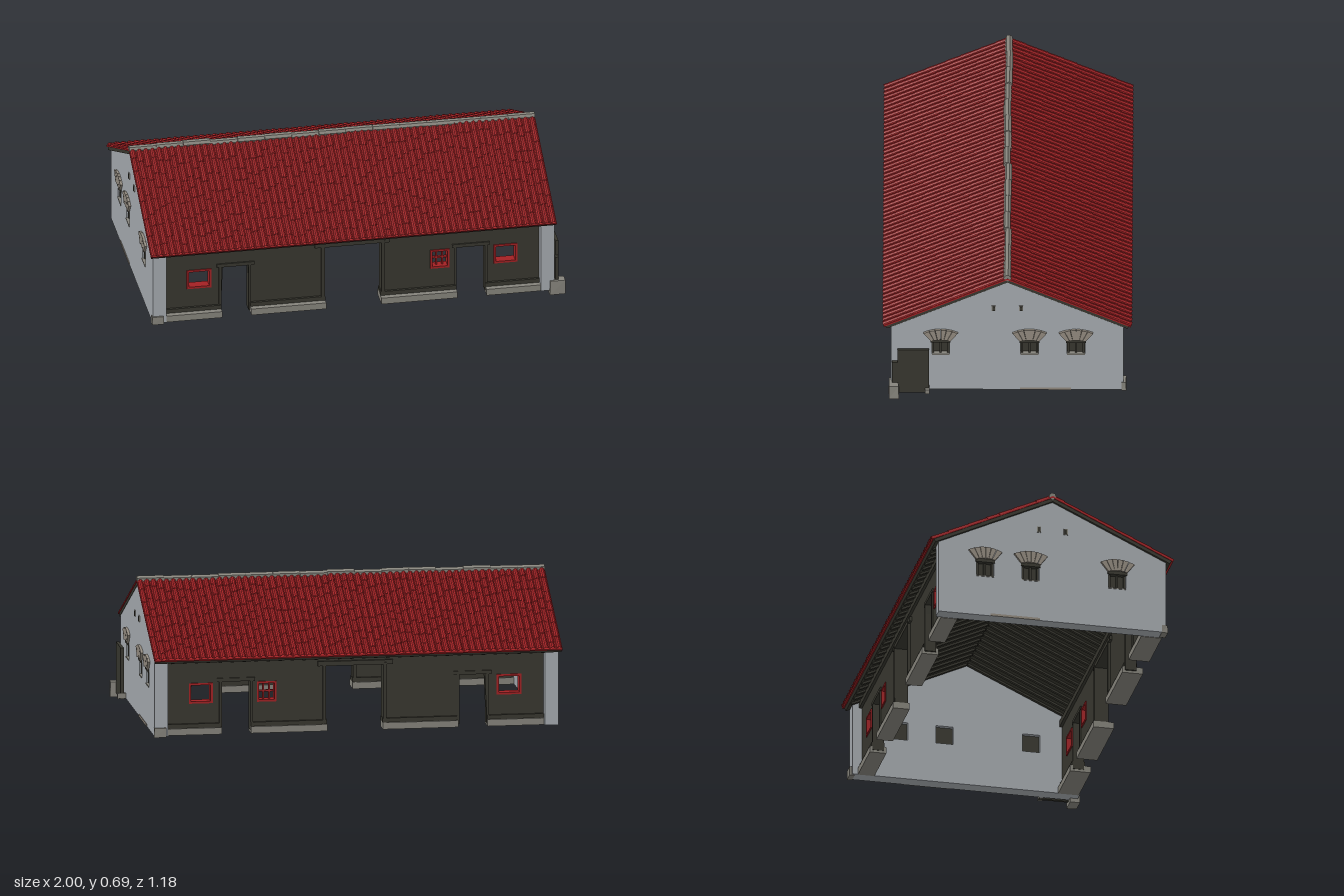
import * as THREE from 'three';
import { mergeGeometries } from 'three/addons/utils/BufferGeometryUtils.js';

const material = (name, color, extra = {}) => {
  const m = new THREE.MeshStandardMaterial({ color, flatShading: true, ...extra });
  m.name = name;
  return m;
};
const plaster = material('grey plaster', 0xa6abb0);
const timber = material('dark timber', 0x38372f);
const red = material('red roof tile', 0xa32124, { side: THREE.DoubleSide });
const stone = material('grey stone', 0x86847c);
const sand = material('sandy stone', 0x938b80);

let seed = 7;
const rand = () => (seed = (seed * 16807) % 2147483647) / 2147483647;

function add(parent, name, geometry, mat, x = 0, y = 0, z = 0) {
  const mesh = new THREE.Mesh(geometry, mat);
  mesh.name = name;
  mesh.position.set(x, y, z);
  parent.add(mesh);
  return mesh;
}
// Box given by its limits on each axis
const block = (parent, name, mat, x0, x1, y0, y1, z0, z1) =>
  add(parent, name, new THREE.BoxGeometry(x1 - x0, y1 - y0, z1 - z0), mat,
    (x0 + x1) / 2, (y0 + y1) / 2, (z0 + z1) / 2);
const polygon = (pts) => new THREE.Shape(pts.map(([a, b]) => new THREE.Vector2(a, b)));
const rect = (x0, x1, y0, y1) => polygon([[x0, y0], [x1, y0], [x1, y1], [x0, y1]]);
const extrude = (shape, depth) => new THREE.ExtrudeGeometry(shape, { depth, bevelEnabled: false, curveSegments: 8 });

const X0 = -1, X1 = 0.95, MID = (X0 + X1) / 2, LENGTH = X1 - X0;
const PITCH = Math.atan(0.275 / 0.585), SLOPE = 0.646;

// One roof slope: local z runs from ridge to eave
function roofSlope(turn) {
  const holder = new THREE.Group();
  holder.name = 'roofSlope';
  holder.position.set(MID, 0.665, 0);
  holder.rotation.y = turn;
  const slope = new THREE.Group();
  slope.rotation.x = PITCH;
  holder.add(slope);
  const h = LENGTH / 2;
  block(slope, 'tileBed', red, -h, h, -0.005, 0.003, 0, SLOPE);
  block(slope, 'roofBoards', timber, -h + 0.004, h - 0.004, -0.021, -0.005, 0, SLOPE - 0.008);

  const tiles = [], columns = 62, step = LENGTH / columns;
  for (let i = 0; i < columns; i++) {
    let z = 0;
    while (z < SLOPE - 0.001) {
      let len = 0.06 + rand() * 0.06;
      if (SLOPE - z - len < 0.04) len = SLOPE - z;
      const r = step * (0.44 + rand() * 0.05);
      const tile = new THREE.CylinderGeometry(r, r * 0.86, len, 5, 1, true, Math.PI / 2, Math.PI);
      tile.rotateX(Math.PI / 2);
      tile.translate(-h + (i + 0.5) * step, 0.001, z + len / 2);
      tiles.push(tile);
      z += len;
    }
  }
  add(slope, 'roofTiles', mergeGeometries(tiles), red);

  const rafters = [];
  for (let i = 0; i < 32; i++) {
    const rafter = new THREE.BoxGeometry(0.016, 0.01, SLOPE - 0.03);
    rafter.translate(-h + 0.09 + i * (LENGTH - 0.18) / 31, -0.025, SLOPE / 2);
    rafters.push(rafter);
  }
  add(slope, 'rafters', mergeGeometries(rafters), timber);
  return holder;
}

// Plastered end wall with windows; side is +1 or -1 along x
function gable(side) {
  const g = new THREE.Group();
  g.name = side > 0 ? 'leftGable' : 'rightGable';
  const inner = side > 0 ? 0.88 : -0.92, outer = inner + side * 0.065;
  const along = (a, b) => [Math.min(a, b), Math.max(a, b)];
  const shape = polygon([[-0.55, 0.02], [0.55, 0.02], [0.55, 0.382], [0, 0.641], [-0.55, 0.382]]);
  const windows = [0.315, -0.105, -0.325];
  for (const z of windows) shape.holes.push(rect(z - 0.042, z + 0.042, 0.222, 0.312));
  add(g, 'gableWall', extrude(shape, 0.065).rotateY(-Math.PI / 2), plaster, Math.max(inner, outer));

  for (const z of windows) {
    block(g, 'shutter', timber, ...along(inner + side * 0.02, outer - side * 0.02), 0.222, 0.312, z - 0.042, z + 0.042);
    block(g, 'windowHead', timber, ...along(outer - side * 0.02, outer + side * 0.006), 0.295, 0.312, z - 0.047, z + 0.047);
    block(g, 'windowSill', stone, ...along(outer - side * 0.02, outer + side * 0.003), 0.222, 0.228, z - 0.042, z + 0.042);
    for (const dz of [-0.036, 0, 0.036])
      block(g, 'windowBar', timber, ...along(outer - side * 0.02, outer - side * 0.008), 0.228, 0.295, z + dz - 0.005, z + dz + 0.005);
    // Fan of wedge stones over the window
    const fan = [];
    for (let i = 0; i < 6; i++) {
      const at = (t, half, y, rise) => [z + (t - 0.5) * 2 * half, y + rise * (1 - (2 * t - 1) ** 2)];
      const a = i / 6 + 0.006, b = (i + 1) / 6 - 0.006;
      fan.push(extrude(polygon([at(a, 0.046, 0.306, 0.008), at(b, 0.046, 0.306, 0.008),
        at(b, 0.082, 0.352, 0.02), at(a, 0.082, 0.352, 0.02)]), 0.016).rotateY(-Math.PI / 2));
    }
    add(g, 'windowArch', mergeGeometries(fan), sand, side > 0 ? outer + 0.012 : outer + 0.004);
  }
  // Small vents near the ridge
  for (const z of [0.065, -0.065]) {
    block(g, 'ventFrame', stone, ...along(outer, outer + side * 0.004), 0.478, 0.508, z - 0.01, z + 0.01);
    block(g, 'vent', timber, ...along(outer, outer + side * 0.006), 0.481, 0.505, z - 0.006, z + 0.006);
  }
  // Worn patches
  block(g, 'wornBase', sand, ...along(outer, outer + side * 0.003), 0.02, 0.032, -0.3, -0.06);
  if (side < 0) for (const [z, y, w] of [[-0.25, 0.17, 0.07], [0.05, 0.18, 0.06]]) {
    const patch = new THREE.CylinderGeometry(1, 1, 0.004, 9).rotateZ(Math.PI / 2);
    add(g, 'wornPatch', patch, sand, inner + 0.001, y, z).scale.set(1, 0.035, w);
  }
  return g;
}

// Timber wall between the gables; side is +1 (front) or -1 (back)
function facade(side) {
  const g = new THREE.Group();
  g.name = side > 0 ? 'frontFacade' : 'backFacade';
  const zc = side * 0.485, depth = 0.04;
  const shape = polygon([[-0.92, 0.03], [-0.65, 0.03], [-0.64, 0.27], [-0.52, 0.27], [-0.51, 0.03], [-0.155, 0.03],
    [-0.155, 0.33], [0.12, 0.33], [0.12, 0.03], [0.48, 0.03], [0.48, 0.27], [0.62, 0.27], [0.62, 0.03],
    [0.88, 0.03], [0.88, 0.405], [-0.92, 0.405]]);
  const windows = [[-0.81, -0.70, false], [0.36, 0.445, true], [0.665, 0.77, false]];
  for (const [a, b] of windows) shape.holes.push(rect(a, b, 0.17, 0.26));
  add(g, 'timberWall', extrude(shape, depth), timber, 0, 0, zc - depth / 2);

  const piece = (name, mat, x0, x1, y0, y1, half = 0.027) =>
    block(g, name, mat, x0, x1, y0, y1, zc - half, zc + half);
  for (const [a, b, barred] of windows) {
    const frame = rect(a - 0.004, b + 0.004, 0.166, 0.264);
    frame.holes.push(rect(a + 0.006, b - 0.006, 0.176, 0.254));
    add(g, 'windowFrame', extrude(frame, 0.05), red, 0, 0, zc - 0.025);
    if (barred) {
      for (const t of [0.33, 0.67]) {
        const x = a + (b - a) * t;
        piece('windowBar', red, x - 0.004, x + 0.004, 0.17, 0.26, 0.006);
      }
      piece('windowBar', red, a, b, 0.211, 0.219, 0.006);
    }
  }
  // Stone footing with a timber rail on top
  for (const [a, b] of [[-0.92, -0.65], [-0.51, -0.15], [0.115, 0.48], [0.62, 0.88]]) {
    block(g, 'footing', stone, a, b, 0.018, 0.05, zc - 0.04, zc + 0.06 * side + (side > 0 ? 0 : 0.1));
    piece('bottomRail', timber, a, b, 0.05, 0.07, 0.032);
  }
  // Posts, lintels and eave beam
  for (const x of [-0.169, 0.12]) piece('gatePost', timber, x, x + 0.016, 0.03, 0.34, 0.034);
  for (const x of [-0.66, -0.518, 0.47, 0.618]) piece('doorPost', timber, x, x + 0.012, 0.03, 0.275);
  piece('gateLintel', timber, -0.2, 0.16, 0.33, 0.352, 0.032);
  for (const x of [-0.58, 0.55]) piece('doorLintel', timber, x - 0.09, x + 0.09, 0.268, 0.285);
  piece('eaveBeam', timber, -0.92, 0.88, 0.365, 0.395, 0.034);
  return g;
}

// Rough stone with jittered corners
function roughStone(parent, x, y, z, w, h, d) {
  const geo = new THREE.DodecahedronGeometry(0.5, 0);
  const box = new THREE.BoxGeometry(1, 1, 1);
  const p = box.attributes.position;
  for (let i = 0; i < p.count; i++) {
    const k = Math.sin(p.getX(i) * 5 + p.getY(i) * 11 + p.getZ(i) * 17) * 0.06 + 0.94;
    p.setXYZ(i, p.getX(i) * k, p.getY(i), p.getZ(i) * k);
  }
  geo.dispose();
  add(parent, 'cornerStone', box, stone, x, y, z).scale.set(w, h, d);
}

export function createModel() {
  const model = new THREE.Group();
  model.name = 'farmBarn';
  model.add(gable(1), gable(-1), facade(1), facade(-1), roofSlope(0), roofSlope(Math.PI));

  // Ridge of irregular cap stones
  const caps = [];
  for (let i = 0; i < 15; i++) {
    const cap = new THREE.CylinderGeometry(0.018, 0.018, LENGTH / 15 - 0.001, 7).rotateZ(Math.PI / 2);
    cap.translate(X0 + (i + 0.5) * LENGTH / 15, 0.667 + rand() * 0.007, (rand() - 0.5) * 0.008);
    caps.push(cap);
  }
  add(model, 'ridgeCaps', mergeGeometries(caps), stone);

  // Open door leaning on the left gable
  block(model, 'sideDoor', timber, 0.955, 0.97, 0.018, 0.265, 0.37, 0.52);
  block(model, 'doorStake', timber, 0.95, 0.966, 0.06, 0.19, 0.52, 0.545);
  block(model, 'doorHinge', stone, 0.945, 0.985, 0.02, 0.045, 0.368, 0.39);

  roughStone(model, 0.96, 0.036, 0.537, 0.08, 0.072, 0.05);
  roughStone(model, -0.96, 0.036, 0.545, 0.06, 0.04, 0.03);
  roughStone(model, 0.92, 0.04, -0.55, 0.06, 0.045, 0.025);
  return model;
}
